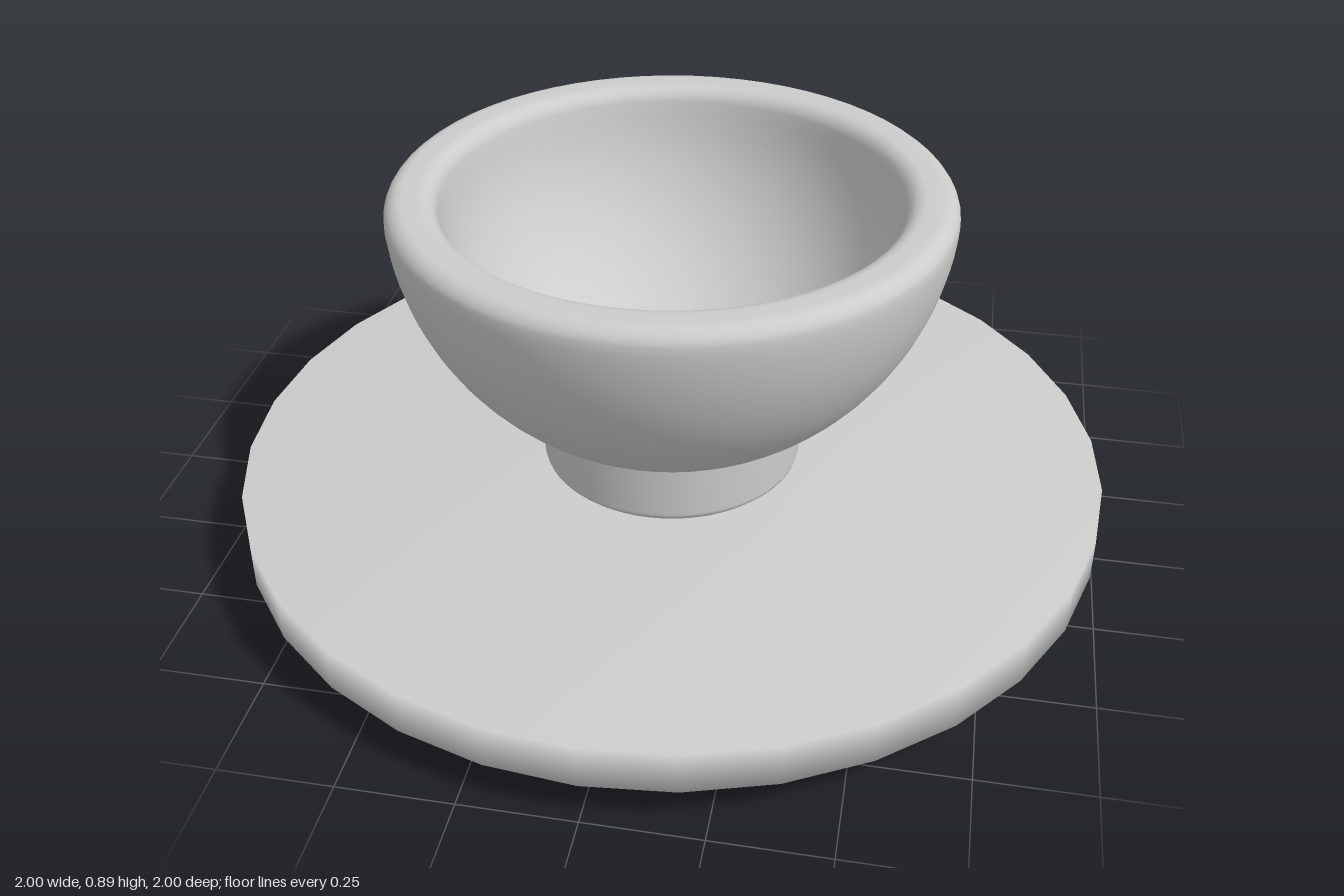
import * as THREE from 'three';

const CENTRE = 0.89; // height of the rim, centre of the bowl's curves

// points on an arc about (cx, cy), from angle a to angle b in degrees
function arc(cx, cy, r, a, b, n) {
  return Array.from({ length: n + 1 }, (_, i) => {
    const t = THREE.MathUtils.degToRad(a + ((b - a) * i) / n);
    return new THREE.Vector2(Math.max(0, cx + r * Math.cos(t)), cy + r * Math.sin(t));
  });
}

function turned(name, points, sides, material) {
  const mesh = new THREE.Mesh(new THREE.LatheGeometry(points, sides), material);
  mesh.name = name;
  return mesh;
}

export function createModel() {
  const group = new THREE.Group();
  group.name = 'cupOnSaucer';
  const grey = new THREE.MeshStandardMaterial({ color: 0xcccccc });
  grey.name = 'grey';
  const v = (x, y) => new THREE.Vector2(x, y);

  // saucer: thick disc with a sloped underside
  group.add(turned('saucer', [v(0, 0), v(0.87, 0), v(1, 0.1), v(1, 0.2), v(0, 0.2)], 32, grey));

  // foot: short ring with a softened lower edge
  group.add(turned('foot', [v(0, 0.2), v(0.28, 0.2), ...arc(0.28, 0.22, 0.02, -60, 0, 2), v(0.3, 0.36)], 64, grey));

  // bowl: outer curve, rounded rim, inner curve
  group.add(turned('bowl', [
    ...arc(0, CENTRE, 0.622, -61, -5, 18),
    ...arc(0.58, CENTRE - 0.04, 0.04, 12, 90, 5),
    ...arc(0.545, CENTRE - 0.04, 0.04, 90, 170, 5),
    ...arc(0, CENTRE, 0.505, -7, -90, 18),
  ], 64, grey));

  return group;
}
